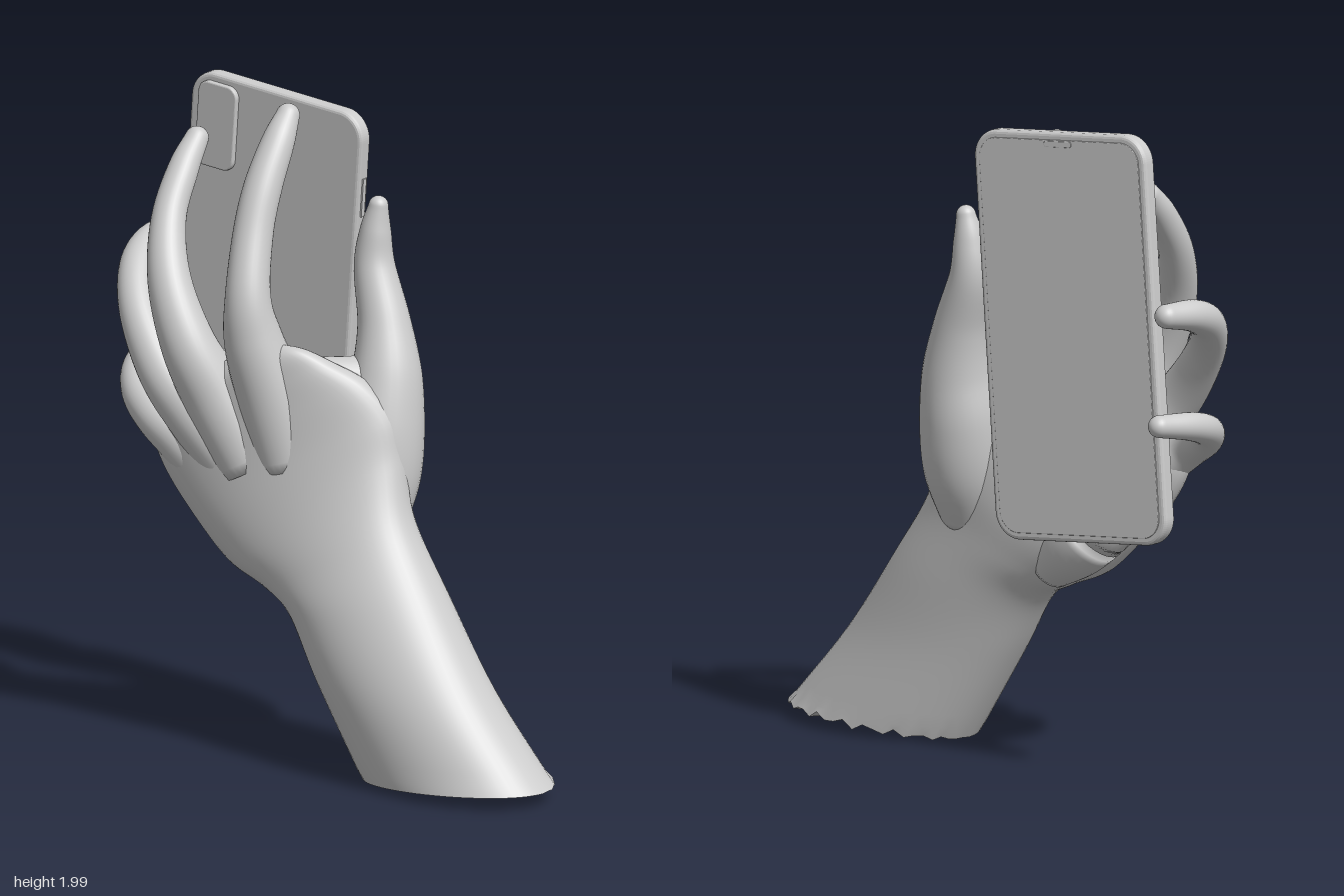
import * as THREE from 'three';

const V = (x, y, z) => new THREE.Vector3(x, y, z);
const grey = new THREE.MeshStandardMaterial({ color: 0xcccccc, roughness: 0.8 });
const SIDES = 32;

function mesh(name, geometry, parent) {
  const m = new THREE.Mesh(geometry, grey);
  m.name = name;
  parent.add(m);
  return m;
}

// Skin a list of rings, closing both ends with fans.
// Set flatStart for a sharp cut at the first ring.
function skin(rings, flatStart = false) {
  const pos = [], idx = [], n = rings[0].length;
  const mid = (ring) => ring.reduce((s, p) => s.add(p), V(0, 0, 0)).divideScalar(n);
  const push = (p) => pos.push(p.x, p.y, p.z) / 3 - 1;
  rings.forEach((ring) => ring.forEach(push));
  for (let i = 0; i < rings.length - 1; i++) {
    for (let j = 0; j < n; j++) {
      const a = i * n + j, b = i * n + (j + 1) % n;
      idx.push(a, b, a + n, b, b + n, a + n);
    }
  }
  let first = 0;
  if (flatStart) {
    first = pos.length / 3;
    rings[0].forEach(push);
  }
  const last = (rings.length - 1) * n;
  const c0 = push(mid(rings[0])), c1 = push(mid(rings[rings.length - 1]));
  for (let j = 0; j < n; j++) {
    const k = (j + 1) % n;
    idx.push(c0, first + k, first + j, c1, last + j, last + k);
  }
  const g = new THREE.BufferGeometry();
  g.setAttribute('position', new THREE.Float32BufferAttribute(pos, 3));
  g.setIndex(idx);
  g.computeVertexNormals();
  return g;
}

const spline = (pts) => new THREE.CatmullRomCurve3(pts, false, 'catmullrom', 0.5);

// Tapered limb: points are [x, y, z, radius]; side is the axis it bends about.
// flat scales the depth of the section.
function limb(points, side, flat = 1) {
  const path = spline(points.map((p) => V(p[0], p[1], p[2])));
  const radius = spline(points.map((p) => V(p[3], 0, 0)));
  const rings = [], steps = points.length * 6;
  const ring = (c, t, r) => {
    const w = t.clone().cross(side).normalize();
    const u = w.clone().cross(t).normalize();
    const out = [];
    for (let j = 0; j < SIDES; j++) {
      const a = (j / SIDES) * Math.PI * 2;
      out.push(c.clone().addScaledVector(u, r * Math.cos(a)).addScaledVector(w, r * flat * Math.sin(a)));
    }
    rings.push(out);
  };
  for (let i = 0; i <= steps; i++) {
    const s = i / steps;
    ring(path.getPoint(s), path.getTangent(s), radius.getPoint(s).x);
  }
  // rounded tip
  const end = path.getPoint(1), dir = path.getTangent(1), r = points[points.length - 1][3];
  for (let k = 1; k < 7; k++) {
    const f = (k / 7) * Math.PI / 2;
    ring(end.clone().addScaledVector(dir, r * Math.sin(f)), dir, r * Math.cos(f));
  }
  return skin(rings);
}

// Forearm, wrist and palm: each section is [outer edge xyz, thumb edge xyz, half depth]
function armGeometry(sections) {
  const left = spline(sections.map((s) => V(s[0], s[1], s[2])));
  const right = spline(sections.map((s) => V(s[3], s[4], s[5])));
  const depth = spline(sections.map((s) => V(s[6], 0, 0)));
  const rings = [], steps = 64, n = 56;
  for (let i = 0; i <= steps; i++) {
    const s = i / steps;
    const L = left.getPoint(s), R = right.getPoint(s), b = depth.getPoint(s).x;
    const c = L.clone().add(R).multiplyScalar(0.5);
    const u = R.clone().sub(L).multiplyScalar(0.5);
    const un = u.clone().normalize();
    const w = V(0, 0, -1).addScaledVector(un, un.z).normalize().multiplyScalar(b);
    const out = [];
    for (let j = 0; j < n; j++) {
      const a = (j / n) * Math.PI * 2, ca = Math.cos(a), sa = Math.sin(a);
      const p = c.clone().addScaledVector(u, ca)
        .addScaledVector(w, Math.sign(sa) * Math.abs(sa) ** 0.9);
      // uneven cut at the end of the forearm
      if (i === 0) p.y += 0.013 * Math.sin(j * 2.4) * Math.max(0, sa) + 0.012 * Math.abs(sa);
      out.push(p);
    }
    rings.push(out);
  }
  return skin(rings, true);
}

function roundedSlab(w, h, r, depth, bevel) {
  const x = w / 2 - bevel, y = h / 2 - bevel, q = Math.PI / 2;
  r -= bevel;
  const s = new THREE.Shape();
  s.absarc(x - r, y - r, r, 0, q);
  s.absarc(-x + r, y - r, r, q, 2 * q);
  s.absarc(-x + r, -y + r, r, 2 * q, 3 * q);
  s.absarc(x - r, -y + r, r, 3 * q, 4 * q);
  s.closePath();
  const g = new THREE.ExtrudeGeometry(s, {
    depth: depth - 2 * bevel, bevelEnabled: true, bevelThickness: bevel,
    bevelSize: bevel, bevelSegments: 3, curveSegments: 10,
  });
  return g.translate(0, 0, bevel - depth / 2);
}

function createPhone() {
  const phone = new THREE.Group();
  phone.name = 'phone';
  mesh('phoneBody', roundedSlab(0.63, 1.24, 0.085, 0.052, 0.012), phone);
  mesh('screen', roundedSlab(0.585, 1.195, 0.065, 0.008, 0.002), phone).position.z = -0.025;
  mesh('earpiece', roundedSlab(0.1, 0.018, 0.008, 0.006, 0.001), phone).position.set(0, 0.585, -0.028);
  mesh('cameraBump', roundedSlab(0.14, 0.265, 0.035, 0.024, 0.005), phone).position.set(-0.208, 0.463, 0.03);
  // side buttons
  [[0.36, 0.12], [0.22, 0.07]].forEach(([y, h]) => {
    mesh('sideButton', new THREE.BoxGeometry(0.008, h, 0.016), phone).position.set(0.316, y, 0);
  });
  const x = V(0.62, -0.06, 0.1).normalize();
  const z = x.clone().cross(V(0.105, 1.23, 0.06)).normalize();
  const y = z.clone().cross(x);
  phone.quaternion.setFromRotationMatrix(new THREE.Matrix4().makeBasis(x, y, z));
  phone.position.set(-0.357, 1.355, -0.238);
  return phone;
}

export function createModel() {
  const model = new THREE.Group();
  model.name = 'handHoldingPhone';
  const hand = new THREE.Group();
  hand.name = 'hand';
  model.add(hand, createPhone());

  mesh('forearmAndPalm', armGeometry([
    [0.17, 0.0, 0.12, 0.8, 0.04, 0.25, 0.205],
    [0.0, 0.28, 0.1, 0.58, 0.3, 0.2, 0.19],
    [-0.11, 0.46, 0.08, 0.39, 0.57, 0.12, 0.175],
    [-0.21, 0.52, 0.06, 0.26, 0.77, 0.06, 0.16],
    [-0.34, 0.58, 0.05, 0.21, 0.94, 0.01, 0.15],
    [-0.47, 0.71, 0.04, 0.18, 1.07, 0.0, 0.138],
    [-0.57, 0.84, 0.03, 0.1, 1.17, 0.03, 0.122],
    [-0.61, 0.95, 0.03, 0.0, 1.23, 0.07, 0.1],
    [-0.58, 1.05, 0.05, -0.08, 1.27, 0.1, 0.07],
    [-0.5, 1.14, 0.07, -0.16, 1.28, 0.11, 0.03],
  ]), hand);

  // Fingers start inside the palm so their bases read as knuckles
  mesh('indexFinger', limb([
    [-0.14, 0.9, 0.06, 0.1], [-0.19, 1.1, 0.08, 0.105], [-0.235, 1.28, 0.115, 0.09],
    [-0.25, 1.42, 0.125, 0.069], [-0.265, 1.6, 0.06, 0.061], [-0.262, 1.73, 0.0, 0.058],
    [-0.25, 1.85, -0.075, 0.05], [-0.245, 1.92, -0.13, 0.036],
  ], V(1, 0, 0)), hand);
  mesh('middleFinger', limb([
    [-0.27, 0.88, 0.06, 0.1], [-0.37, 1.08, 0.09, 0.1], [-0.45, 1.25, 0.125, 0.083],
    [-0.53, 1.43, 0.09, 0.066], [-0.578, 1.59, 0.0, 0.053], [-0.58, 1.72, -0.1, 0.047],
    [-0.572, 1.8, -0.175, 0.036],
  ], V(0.9, 0.3, 0)), hand);
  mesh('ringFinger', limb([
    [-0.33, 0.87, 0.05, 0.09], [-0.45, 1.02, 0.075, 0.09], [-0.56, 1.14, 0.075, 0.074],
    [-0.67, 1.29, 0.01, 0.06], [-0.733, 1.4, -0.1, 0.055], [-0.745, 1.455, -0.22, 0.049],
    [-0.715, 1.475, -0.34, 0.037],
  ], V(0.7, 0.6, 0)), hand);
  mesh('littleFinger', limb([
    [-0.38, 0.8, 0.03, 0.08], [-0.5, 0.92, 0.04, 0.08], [-0.6, 0.985, 0.035, 0.064],
    [-0.69, 1.035, -0.03, 0.054], [-0.744, 1.085, -0.13, 0.048], [-0.745, 1.12, -0.24, 0.043],
    [-0.7, 1.14, -0.36, 0.034],
  ], V(0.5, 0.8, 0)), hand);
  mesh('thumb', limb([
    [0.1, 0.7, 0.0, 0.09], [0.1, 0.86, -0.04, 0.128], [0.1, 1.02, -0.065, 0.131],
    [0.105, 1.17, -0.09, 0.108], [0.082, 1.32, -0.12, 0.081], [0.035, 1.48, -0.15, 0.063],
    [0.035, 1.59, -0.155, 0.048], [0.045, 1.67, -0.155, 0.03],
  ], V(1, 0, 0)), hand);

  // Fleshy pad on the little finger side of the palm
  mesh('palmHeel', limb([
    [-0.16, 0.58, 0.0, 0.07], [-0.28, 0.68, -0.04, 0.105],
    [-0.4, 0.8, -0.035, 0.105], [-0.5, 0.92, 0.0, 0.07],
  ], V(0.7, -0.7, 0)), hand);

  // Web of skin between the thumb and the index finger
  mesh('thumbWeb', limb([
    [-0.16, 1.12, 0.07, 0.1], [-0.06, 1.13, 0.02, 0.1], [0.05, 1.13, -0.05, 0.1],
  ], V(0, 1, 0), 0.75), hand);

  return model;
}
